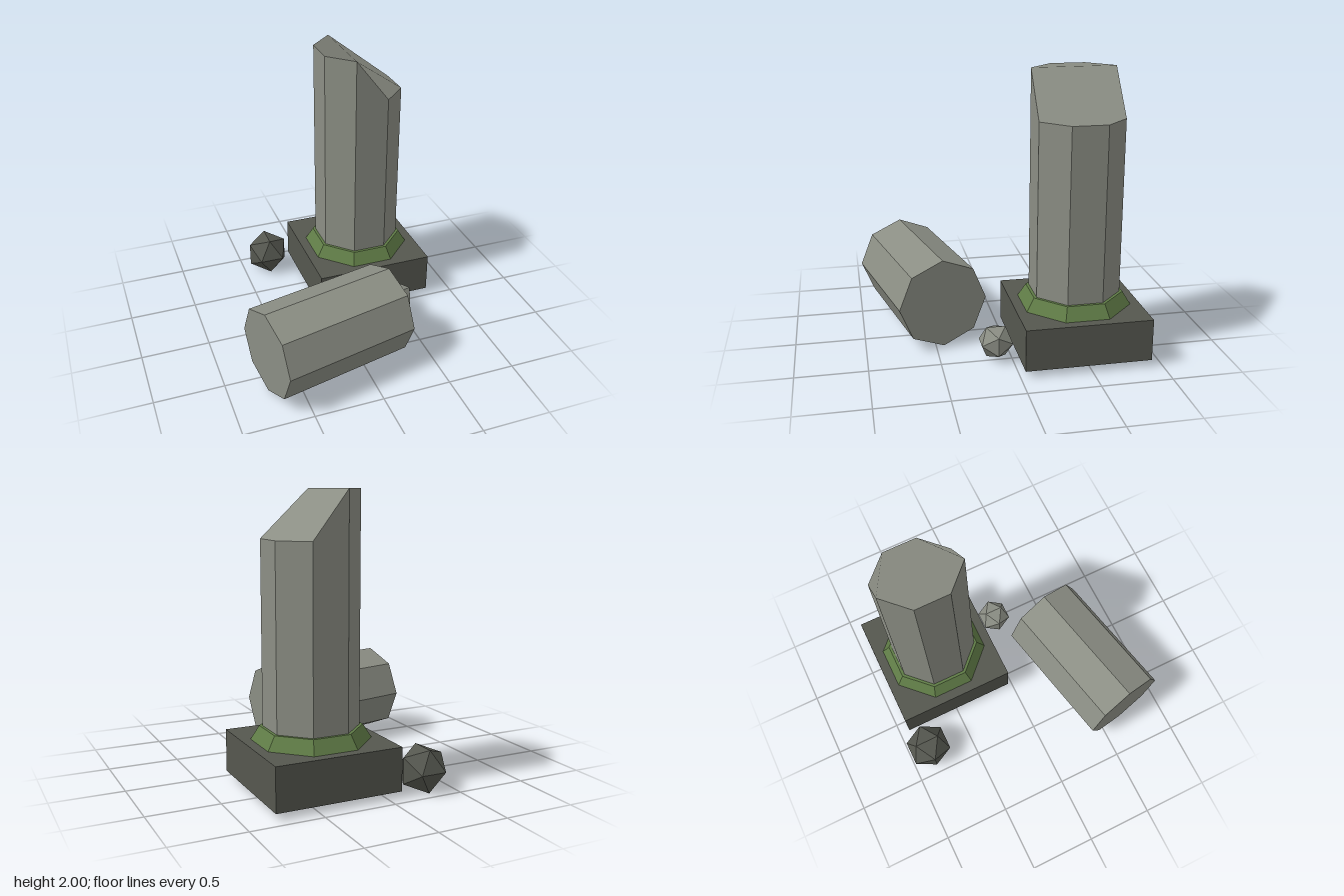
import * as THREE from 'three';

const stone = new THREE.MeshStandardMaterial({ color: 0x8b8e84, side: THREE.DoubleSide });
stone.name = 'light stone';
const darkStone = new THREE.MeshStandardMaterial({ color: 0x55574f, side: THREE.DoubleSide });
darkStone.name = 'dark stone';
const moss = new THREE.MeshStandardMaterial({ color: 0x5f7b46, side: THREE.DoubleSide });
moss.name = 'moss green';

const SIDES = 8;
const APOTHEM = Math.cos(Math.PI / SIDES);

// Faceted copy with one normal per face
function faceted(geometry) {
  const g = geometry.index ? geometry.toNonIndexed() : geometry;
  g.computeVertexNormals();
  return g;
}

function part(name, geometry, material, x, y, z) {
  const mesh = new THREE.Mesh(geometry, material);
  mesh.name = name;
  mesh.position.set(x, y, z);
  return mesh;
}

// Octagonal prism with flat sides towards x and z; sizes are half widths across the flats
function octagon(top, bottom, height, open = false) {
  return new THREE.CylinderGeometry(top / APOTHEM, bottom / APOTHEM, height, SIDES, 1, open)
    .rotateY(Math.PI / SIDES);
}

// Standing shaft, broken off diagonally at the top
function brokenShaft(halfWidth, bottom, low, high) {
  const group = new THREE.Group();
  group.name = 'brokenColumn';
  const topAt = (x) => (x > 0 ? low : high);

  const wall = octagon(halfWidth, halfWidth, high - bottom, true).translate(0, (high + bottom) / 2, 0);
  const p = wall.attributes.position;
  for (let i = 0; i < p.count; i++) {
    if (p.getY(i) > high - 0.01) p.setY(i, topAt(p.getX(i)));
  }
  group.add(part('columnShaft', faceted(wall), stone, 0, 0, 0));

  // Broken top, shaded as a single sloping face
  const points = [], normals = [];
  const slope = new THREE.Vector3(0.54, 0.84, 0).normalize();
  for (let k = 0; k < SIDES; k++) {
    const a = ((k + 0.5) * 2 * Math.PI) / SIDES;
    const x = (Math.sin(a) * halfWidth) / APOTHEM;
    points.push(x, topAt(x), (Math.cos(a) * halfWidth) / APOTHEM);
    normals.push(slope.x, slope.y, slope.z);
  }
  const cap = new THREE.BufferGeometry();
  cap.setAttribute('position', new THREE.Float32BufferAttribute(points, 3));
  cap.setAttribute('normal', new THREE.Float32BufferAttribute(normals, 3));
  cap.setIndex([7, 0, 1, 2, 3, 4, 7, 1, 2, 7, 2, 4, 4, 5, 6, 4, 6, 7]);
  group.add(part('columnBreak', cap, stone, 0, 0, 0));
  return group;
}

function rock(name, radius, material, x, y, z) {
  const g = new THREE.IcosahedronGeometry(radius, 0).rotateY(Math.PI / 2);
  return part(name, faceted(g), material, x, y, z);
}

export function createModel() {
  const model = new THREE.Group();
  model.name = 'ruinedColumn';
  const cx = 0.352, cz = -0.478;

  // Square plinth, open underneath
  const box = new THREE.BoxGeometry(0.89, 0.3, 0.89);
  const faces = Array.from(box.index.array);
  faces.splice(18, 6);
  box.setIndex(faces);
  model.add(part('plinth', faceted(box), darkStone, cx, 0.197, cz));

  // Mossy collar around the foot of the shaft
  model.add(part('mossCollar', faceted(octagon(0.32, 0.375, 0.093)), moss, cx, 0.393, cz));

  const column = brokenShaft(0.3, 0.36, 1.68, 2);
  column.position.set(cx, 0, cz);
  model.add(column);

  // Fallen drum lying on its side
  const drum = new THREE.CylinderGeometry(0.325, 0.325, 1.004, SIDES)
    .rotateZ(Math.PI / 2)
    .rotateY(Math.atan2(0.22, 0.98));
  model.add(part('fallenDrum', faceted(drum), stone, -0.24, 0.345, 0.556));

  // Loose rubble
  model.add(rock('smallRock', 0.129, stone, 0.473, 0.13, 0.11));
  model.add(rock('largeRock', 0.174, darkStone, -0.3, 0.149, -0.838));
  return model;
}
